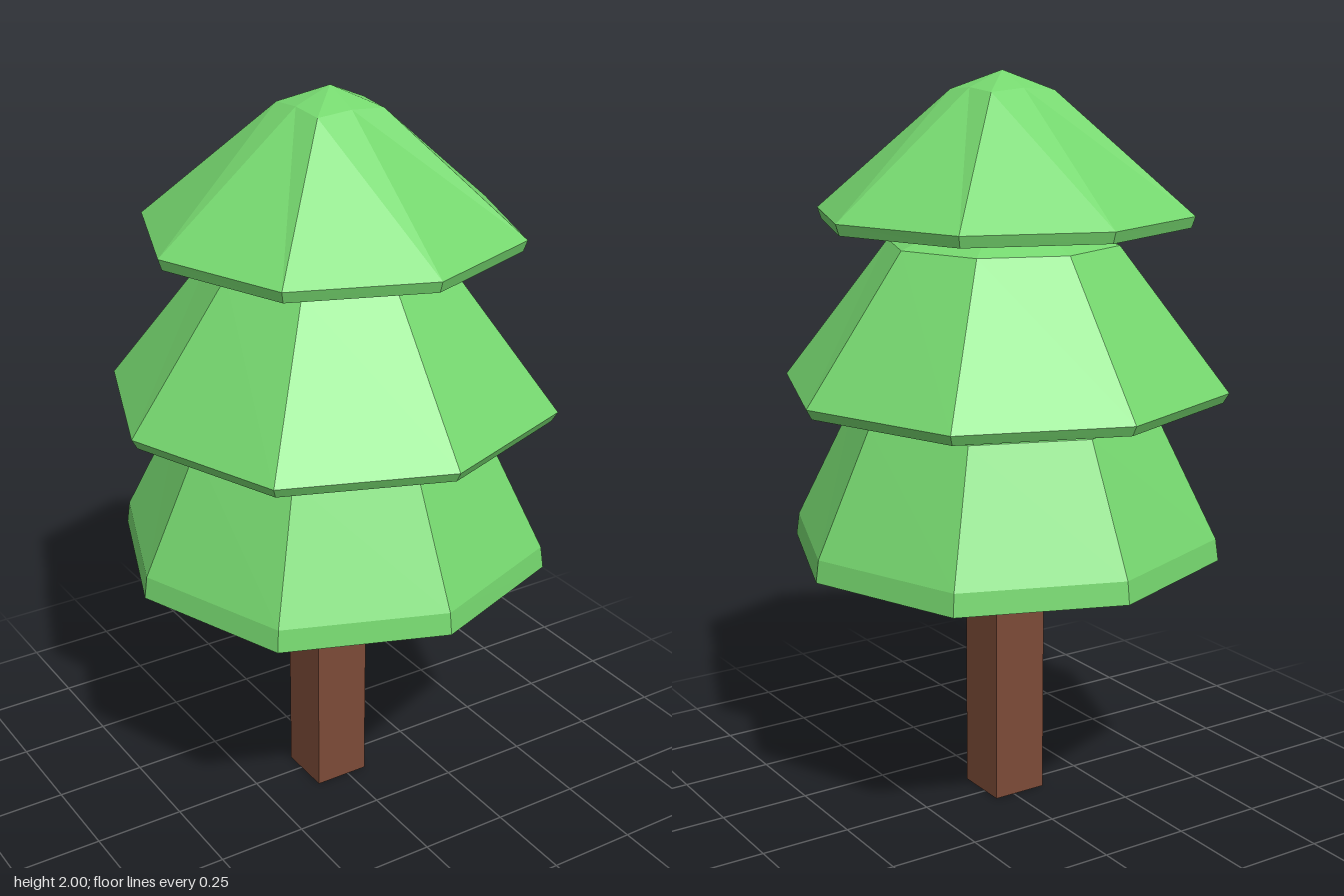
import * as THREE from 'three';

export function createModel() {
  const tree = new THREE.Group();
  tree.name = 'tree';
  const leaf = new THREE.MeshStandardMaterial({ color: 0x76d86f, flatShading: true });
  const bark = new THREE.MeshStandardMaterial({ color: 0x7c4b37, flatShading: true });

  // Foliage: one eight-sided shell, [radius, height] from the underside to the tip
  const profile = [
    [0, 0.685], [0.41, 0.69], [0.575, 0.715], [0.567, 0.775], // lower tier
    [0.41, 1.105], [0.375, 1.125],                            // lower neck
    [0.575, 1.148], [0.59, 1.175],                            // middle tier
    [0.308, 1.555], [0.24, 1.58],                             // upper neck
    [0.485, 1.605], [0.495, 1.635],                           // upper tier
    [0.1, 1.958], [0, 2.0],                                   // blunt tip
  ].map(([r, y]) => new THREE.Vector2(r, y));
  const shell = new THREE.LatheGeometry(profile, 8);

  // Push the diagonal corners out a little; the tip ring becomes square
  const p = shell.attributes.position;
  for (let i = 0; i < p.count; i++) {
    const x = p.getX(i), y = p.getY(i), z = p.getZ(i);
    const diagonal = Math.min(Math.abs(x), Math.abs(z)) > 0.01;
    const k = !diagonal ? 1 : y > 1.9 ? 1.38 : 1 + 0.05 * Math.hypot(x, z);
    p.setXYZ(i, x * k * 0.997, diagonal && y > 1.9 ? y - 0.008 : y, z * k * 1.007);
  }
  const foliage = new THREE.Mesh(shell, leaf);
  foliage.name = 'foliage';
  tree.add(foliage);

  // Trunk: a square post set slightly off centre
  const trunk = new THREE.Mesh(new THREE.BoxGeometry(0.156, 0.7, 0.156), bark);
  trunk.name = 'trunk';
  trunk.position.set(-0.02, 0.35, 0.018);
  tree.add(trunk);

  return tree;
}
